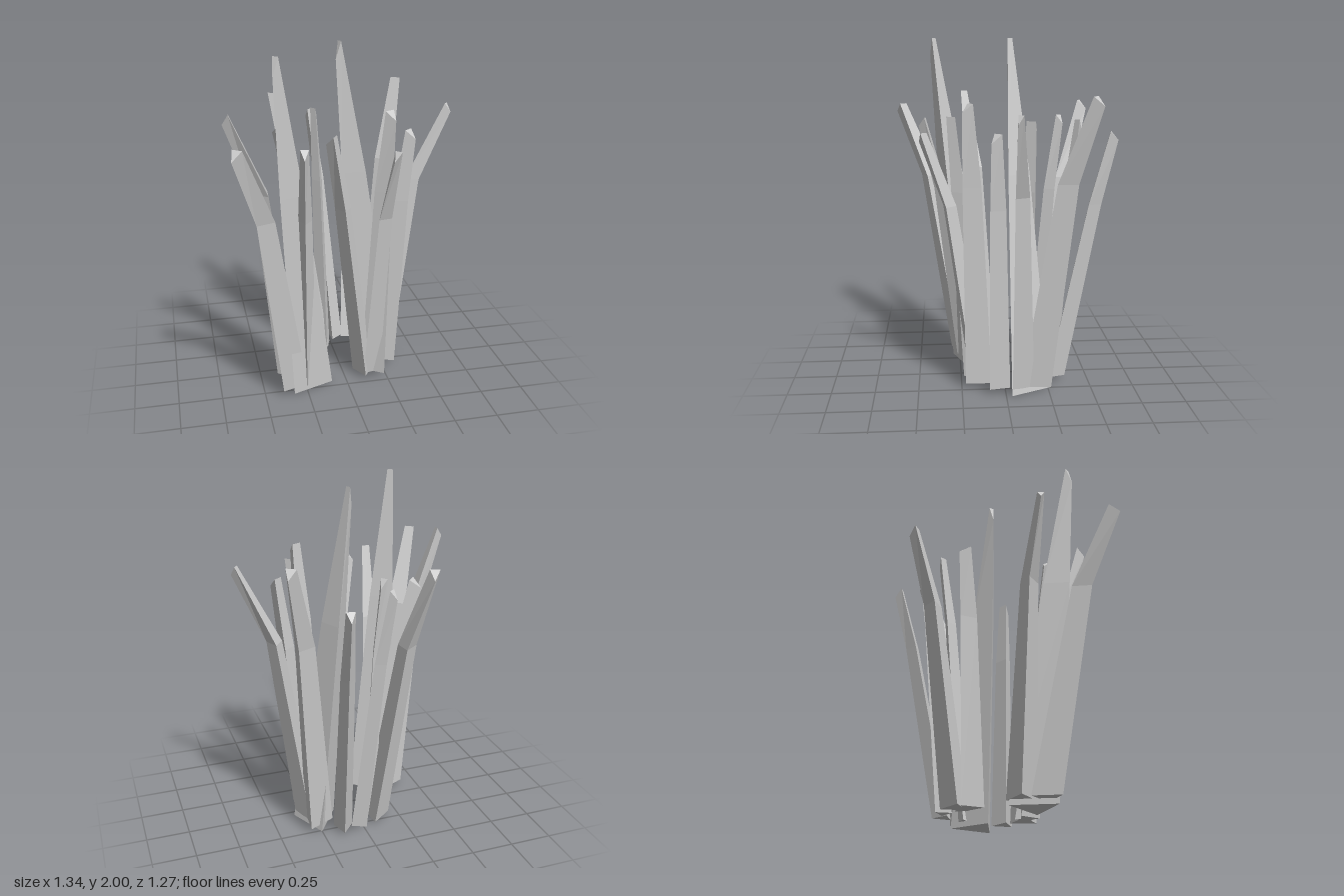
import * as THREE from 'three';

// One row per blade: base x, base z, tip x, tip y, tip z, base width, tip width,
// share of the lean reached at the bend, twist in degrees
const BLADES = [
  // front cluster (-x, +z)
  [-0.335, 0.23, -0.645, 1.59, 0.605, 0.16, 0.06, 0.53, 0],
  [-0.31, 0.10, -0.65, 1.67, 0.20, 0.16, 0.04, 0.45, 20],
  [-0.235, 0.175, -0.415, 2.00, 0.395, 0.26, 0.035, 0.62, 0],
  [-0.24, 0.205, -0.28, 1.53, 0.46, 0.11, 0.045, 0.58, 0],
  // back cluster (-x, -z)
  [-0.10, -0.155, -0.32, 1.50, -0.215, 0.13, 0.07, 0.6, 25],
  [-0.10, -0.235, -0.305, 1.63, -0.505, 0.15, 0.055, 0.55, 60],
  [-0.055, -0.20, -0.08, 1.56, -0.345, 0.09, 0.04, 0.62, 60],
  [0.03, -0.30, -0.095, 1.53, -0.46, 0.09, 0.04, 0.64, 0],
  [0.13, -0.30, 0.195, 1.49, -0.61, 0.11, 0.05, 0.67, 0],
  // back cluster (+x, -z)
  [0.26, -0.18, 0.465, 1.70, -0.475, 0.17, 0.06, 0.52, 0],
  [0.24, -0.115, 0.003, 2.00, -0.04, 0.25, 0.03, 0.6, -8],
  [0.285, -0.085, 0.655, 1.62, -0.045, 0.14, 0.035, 0.45, 30],
  // front cluster (+x, +z)
  [0.285, 0.04, 0.405, 1.50, 0.06, 0.12, 0.06, 0.6, 40],
  [0.155, 0.16, 0.215, 1.49, 0.455, 0.11, 0.045, 0.52, 60],
  [0.115, 0.165, -0.10, 1.55, 0.285, 0.12, 0.06, 0.66, 60],
  [0.19, 0.15, 0.25, 1.65, 0.205, 0.15, 0.06, 0.6, 20],
];

// A three-sided blade with a single bend and a slanted tip
function bladeGeometry([bx, bz, tx, ty, tz, width, tipWidth, bend, twist]) {
  const turn = Math.atan2(tz - bz, tx - bx) + THREE.MathUtils.degToRad(twist);
  const tall = width > 0.2;

  // triangle section around a point on the centre line
  const section = (t, y, w, slant) => {
    const x = THREE.MathUtils.lerp(bx, tx, t), z = THREE.MathUtils.lerp(bz, tz, t);
    const r = w / Math.sqrt(3);
    return [0, 1, 2].map((k) => {
      const a = turn - (k * Math.PI * 2) / 3;
      return [x + Math.cos(a) * r, k === 0 ? y - slant : y, z + Math.sin(a) * r];
    });
  };
  const rings = [
    section(0, tall ? 0 : 0.03, width, 0),
    section(bend, ty * (tall ? 0.62 : 0.72), (width + tipWidth) / 2, 0),
    section(1, ty, tipWidth, tall ? 0.1 : 0.05),
  ];

  const pos = [];
  const tri = (...corners) => corners.forEach((c) => pos.push(...c));
  for (let r = 0; r < 2; r++) {
    const lo = rings[r], hi = rings[r + 1];
    for (let i = 0; i < 3; i++) {
      const j = (i + 1) % 3;
      tri(lo[i], lo[j], hi[j]);
      tri(lo[i], hi[j], hi[i]);
    }
  }
  tri(rings[2][0], rings[2][1], rings[2][2]);
  tri(rings[0][2], rings[0][1], rings[0][0]);

  const geo = new THREE.BufferGeometry();
  geo.setAttribute('position', new THREE.Float32BufferAttribute(pos, 3));
  geo.computeVertexNormals();
  return geo;
}

export function createModel() {
  const group = new THREE.Group();
  group.name = 'grassTuft';
  const material = new THREE.MeshStandardMaterial({ color: 0xcccccc, flatShading: true });
  BLADES.forEach((blade, i) => {
    const mesh = new THREE.Mesh(bladeGeometry(blade), material);
    mesh.name = `grassBlade${i + 1}`;
    group.add(mesh);
  });
  return group;
}
